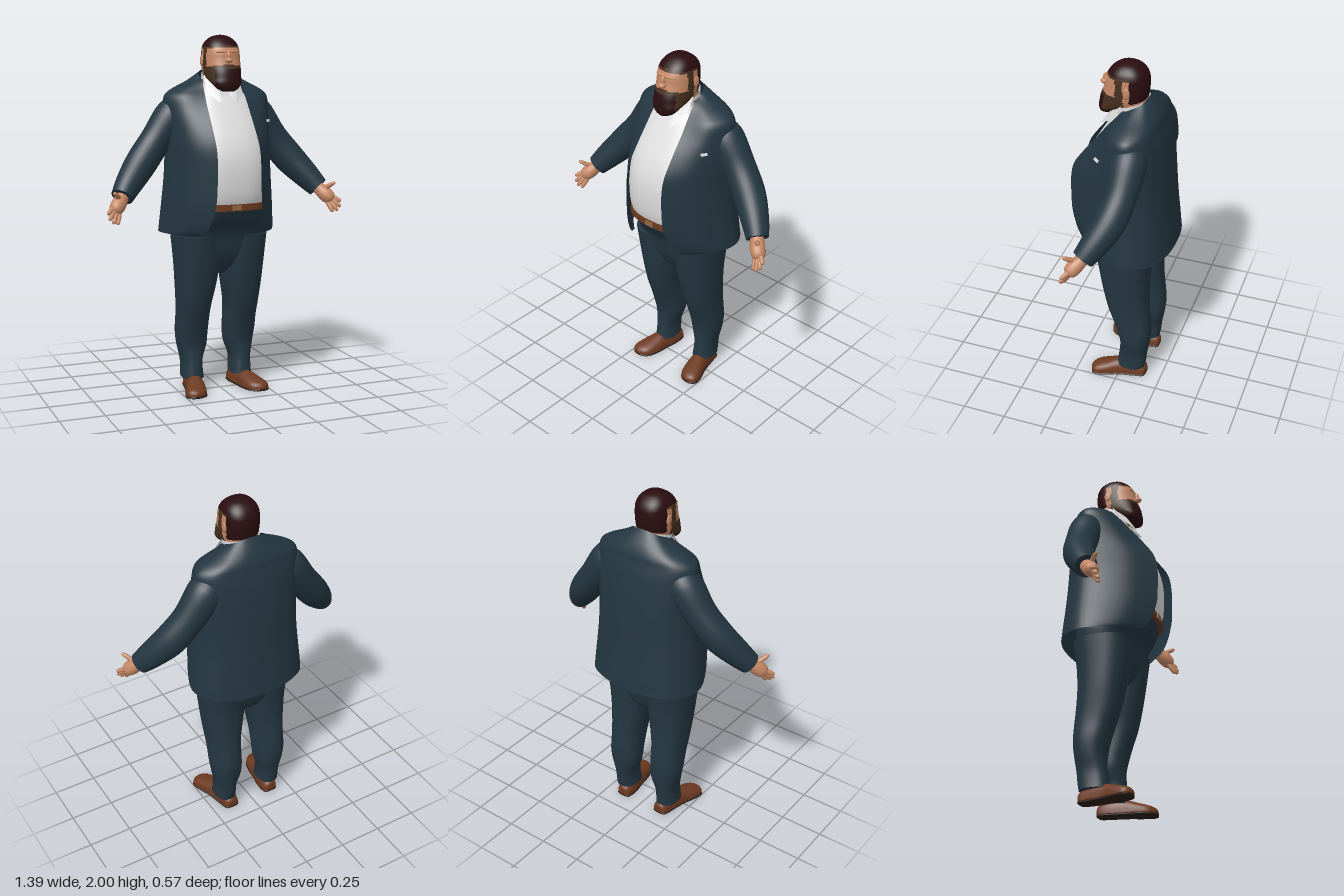
import * as THREE from 'three';

const V = (x, y, z) => new THREE.Vector3(x, y, z);
const mat = (name, color, side = THREE.FrontSide) => {
  const m = new THREE.MeshStandardMaterial({ color, side });
  m.name = name;
  return m;
};

// Smoothly resample a table of section parameters
function resample(table, n) {
  const out = [], last = table.length - 1;
  for (let i = 0; i <= n; i++) {
    const f = (i / n) * last, k = Math.min(Math.floor(f), last - 1), t = f - k;
    const row = (j) => table[Math.max(0, Math.min(last, j))];
    out.push(row(k).map((b, c) => {
      const a = row(k - 1)[c], d = row(k + 1)[c], e = row(k + 2)[c];
      return b + 0.5 * t * (d - a + t * (2 * a - 5 * b + 4 * d - e + t * (3 * (b - d) + e - a)));
    }));
  }
  return out;
}

// Skin a list of rings; an optional rule picks a material slot for each face
function loft(rings, { closed = true, caps = closed, pick = null, slots = 1 } = {}) {
  const middle = (r) => {
    const c = r.reduce((s, p) => s.add(p), V(0, 0, 0)).divideScalar(r.length);
    return r.map(() => c);
  };
  const first = rings[0], end = rings[rings.length - 1];
  const all = caps ? [middle(first), first, ...rings, end, middle(end)] : rings;
  const n = first.length, lists = Array.from({ length: slots }, () => []);
  for (let i = 0; i < all.length - 1; i++) {
    for (let j = 0; j < (closed ? n : n - 1); j++) {
      const k = (j + 1) % n, a = i * n + j, b = i * n + k, c = b + n, d = a + n;
      const mid = all[i][j].clone().add(all[i + 1][k]).multiplyScalar(0.5);
      lists[pick ? pick(mid) : 0].push(a, b, c, a, c, d);
    }
  }
  const g = new THREE.BufferGeometry().setFromPoints(all.flat());
  g.setIndex(lists.flat());
  let start = 0;
  if (slots > 1) lists.forEach((l, s) => { g.addGroup(start, l.length, s); start += l.length; });
  g.computeVertexNormals();
  return g;
}

// Horizontal rounded section: centre x, half width, front z, back z
function section(y, cx, w, zf, zb, power = 2.3, n = 40) {
  const ring = [], bend = (v) => Math.sign(v) * Math.abs(v) ** (2 / power);
  for (let j = 0; j < n; j++) {
    const t = (j / n) * Math.PI * 2;
    ring.push(V(cx + w * bend(Math.sin(t)), y, (zf + zb) / 2 + ((zf - zb) / 2) * bend(Math.cos(t))));
  }
  return ring;
}
const body = (table, n, power, sides) =>
  resample(table, n).map(([y, cx, w, zf, zb]) => section(y, cx, w, zf, zb, power, sides));

// Round limb along points [x, y, z, radius]
function limb(points, steps = 14, sides = 20) {
  const rows = resample(points, steps), p = rows.map((r) => V(r[0], r[1], r[2]));
  return loft(rows.map((r, i) => {
    const d = p[Math.min(i + 1, steps)].clone().sub(p[Math.max(i - 1, 0)]).normalize();
    const u = V(0, 0, 1).cross(d).normalize(), v = d.clone().cross(u);
    return Array.from({ length: sides }, (_, j) => {
      const t = (j / sides) * Math.PI * 2;
      return p[i].clone().addScaledVector(u, r[3] * Math.cos(t)).addScaledVector(v, r[3] * Math.sin(t));
    });
  }));
}

function mirrored(g) {
  const m = g.clone().applyMatrix4(new THREE.Matrix4().makeScale(-1, 1, 1));
  const idx = m.index.array;
  for (let i = 0; i < idx.length; i += 3) [idx[i], idx[i + 1]] = [idx[i + 1], idx[i]];
  return m;
}

export function createModel() {
  const model = new THREE.Group();
  const suit = mat('navy suit', 0x243641, THREE.DoubleSide);
  const white = mat('white shirt', 0xdedede, THREE.DoubleSide);
  const skin = mat('skin', 0xc48866);
  const hair = mat('dark hair', 0x2a0d10);
  const stubble = mat('brown beard edge', 0x46301f);
  const leather = mat('brown leather', 0x6e3b22);
  const soleMat = mat('dark sole', 0x2c1f19);
  const brass = mat('brass', 0x8f6a42);

  const add = (name, g, m) => {
    const mesh = new THREE.Mesh(g, m);
    mesh.name = name;
    model.add(mesh);
    return mesh;
  };
  const pair = (name, g, m) => { add(name + 'Left', g, m); add(name + 'Right', mirrored(g), m); };

  // Open jacket: y, opening x, front z, half width, side z, back z, rise at the back
  const coat = resample([
    [0.915, 0.195, 0.165, 0.335, -0.08, -0.283, 0], [0.94, 0.167, 0.215, 0.332, -0.08, -0.28, 0],
    [1.0, 0.148, 0.255, 0.325, -0.08, -0.275, 0], [1.1, 0.132, 0.285, 0.315, -0.075, -0.265, 0],
    [1.2, 0.127, 0.29, 0.306, -0.07, -0.257, 0], [1.3, 0.125, 0.29, 0.3, -0.07, -0.25, 0],
    [1.4, 0.124, 0.27, 0.3, -0.07, -0.242, 0], [1.5, 0.122, 0.205, 0.304, -0.07, -0.232, 0],
    [1.6, 0.12, 0.128, 0.308, -0.07, -0.217, 0], [1.665, 0.117, 0.08, 0.303, -0.07, -0.2, 0],
    [1.7, 0.113, 0.05, 0.262, -0.07, -0.19, 0.01], [1.735, 0.109, 0.022, 0.18, -0.06, -0.165, 0.025],
    [1.758, 0.1, 0.0, 0.108, -0.05, -0.118, 0.065],
  ], 60).map(([y, xo, zf, w, zm, zb, rise]) => {
    const bulge = 0.17 * (w - xo);
    const half = [[xo, zf], [(xo + w) / 2 + bulge, (zf + zm) / 2 + bulge], [w, zm],
      [w * 0.82, zm + (zb - zm) * 0.62], [w * 0.45, zm + (zb - zm) * 0.92]];
    const pts = [...half, [0, zb], ...half.map(([x, z]) => [-x, z]).reverse()].map(([x, z]) => V(x, 0, z));
    return new THREE.CatmullRomCurve3(pts).getPoints(60).map((p, j) => {
      p.y = y + rise * Math.sin((j / 60) * Math.PI) ** 2;
      return p;
    });
  });
  add('jacket', loft(coat, { closed: false }), suit);

  // Sleeves
  pair('sleeve', limb([[0.2, 1.61, -0.085, 0.07], [0.25, 1.56, -0.085, 0.098], [0.35, 1.425, -0.08, 0.088],
    [0.445, 1.305, -0.05, 0.088], [0.53, 1.205, 0.005, 0.075], [0.585, 1.137, 0.05, 0.061]], 22, 28), suit);

  // Hands with open fingers
  pair('palm', limb([[0.57, 1.155, 0.04, 0.036], [0.592, 1.127, 0.06, 0.037], [0.615, 1.1, 0.085, 0.042],
    [0.638, 1.075, 0.105, 0.036], [0.648, 1.065, 0.113, 0.018]], 10), skin);
  const fingers = [
    [[0.645, 1.09, 0.1], [0.69, 1.06, 0.137]], [[0.645, 1.073, 0.11], [0.683, 1.03, 0.147]],
    [[0.634, 1.063, 0.112], [0.662, 1.01, 0.15]], [[0.617, 1.062, 0.105], [0.637, 1.002, 0.142]],
    [[0.605, 1.13, 0.08], [0.652, 1.172, 0.135]],
  ];
  fingers.forEach(([a, b], i) => {
    const at = (t, r) => [0, 1, 2].map((k) => a[k] + (b[k] - a[k]) * t).concat(r);
    pair(i < 4 ? 'finger' + (i + 1) : 'thumb',
      limb([at(0, 0.014), at(0.5, 0.0135), at(0.9, 0.01), at(1, 0.003)], 8, 10), skin);
  });

  // Shirt over the belly, with collar
  add('shirt', loft(body([
    [1.07, 0, 0.235, 0.235, -0.2], [1.14, 0, 0.24, 0.255, -0.2], [1.25, 0, 0.24, 0.262, -0.2],
    [1.35, 0, 0.235, 0.252, -0.2], [1.45, 0, 0.225, 0.217, -0.2], [1.55, 0, 0.21, 0.16, -0.19],
    [1.63, 0, 0.185, 0.112, -0.17], [1.69, 0, 0.13, 0.075, -0.14], [1.73, 0, 0.1, 0.06, -0.11],
  ], 32, 2.6)), white);
  pair('collarFlap', loft([[V(0.018, 1.675, 0.095), V(0.05, 1.635, 0.14), V(0.105, 1.69, 0.07)],
    [V(0.022, 1.71, 0.085), V(0.065, 1.735, 0.075), V(0.1, 1.785, 0.005)]], { closed: false }), white);
  add('collarBand', loft([0, 1].map((k) => section(1.7 + k * 0.05, 0, 0.1, 0.08, -0.115, 2)
    .map((p) => V(p.x, p.y + (0.08 - p.z) * 0.3, p.z))), { caps: false }), white);

  // Pocket handkerchief
  const square = add('pocketSquare', new THREE.BoxGeometry(0.034, 0.014, 0.009), white);
  square.position.set(0.25, 1.53, 0.094);
  square.rotation.set(-0.35, 0.9, 0, 'YXZ');

  // Belt and buckle
  add('belt', loft([1.056, 1.092].map((y) => section(y, 0, 0.245, 0.25, -0.21, 2.6))), leather);
  add('buckle', new THREE.BoxGeometry(0.05, 0.028, 0.008), brass).position.set(0, 1.074, 0.252);

  // Trousers
  add('trouserSeat', loft(body([
    [0.67, 0, 0.05, 0.01, -0.09], [0.72, 0, 0.15, 0.075, -0.14], [0.8, 0, 0.235, 0.115, -0.172],
    [0.92, 0, 0.272, 0.145, -0.192], [1.0, 0, 0.27, 0.2, -0.205], [1.07, 0, 0.245, 0.235, -0.205],
  ], 24, 2.5)), suit);
  pair('trouserLeg', loft(body([
    [0.065, 0.147, 0.063, 0.015, -0.15], [0.11, 0.148, 0.06, 0.01, -0.157], [0.17, 0.148, 0.062, 0.002, -0.163],
    [0.25, 0.143, 0.084, -0.002, -0.176], [0.33, 0.145, 0.091, 0.015, -0.184], [0.42, 0.144, 0.091, 0.045, -0.18],
    [0.5, 0.143, 0.096, 0.072, -0.172], [0.62, 0.137, 0.113, 0.098, -0.165], [0.75, 0.134, 0.126, 0.12, -0.17],
    [0.9, 0.14, 0.133, 0.14, -0.19],
  ], 36, 2.3)), suit);

  // Shoes: z, centre x, half width, height
  const shoe = [[-0.157, 0.135, 0.015, 0.045], [-0.145, 0.135, 0.04, 0.065], [-0.08, 0.14, 0.05, 0.085],
    [0, 0.155, 0.052, 0.088], [0.06, 0.17, 0.06, 0.073], [0.12, 0.186, 0.06, 0.056],
    [0.15, 0.192, 0.043, 0.043], [0.164, 0.194, 0.014, 0.028]];
  const shoeLoft = (grow, lo, height) => loft(resample(shoe, 28).map(([z, cx, w, top]) =>
    Array.from({ length: 28 }, (_, j) => {
      const t = (j / 28) * Math.PI * 2;
      const up = Math.max(0, Math.sin(t)) ** 0.7;
      return V(cx + (w + grow) * Math.cos(t), lo + ((height || top) - lo) * up, z);
    })));
  pair('shoe', shoeLoft(0, 0.01), leather);
  pair('sole', shoeLoft(0.003, 0, 0.013), soleMat);

  // Neck
  add('neck', loft(body([[1.64, 0, 0.09, 0.07, -0.1], [1.74, 0, 0.088, 0.07, -0.105],
    [1.83, 0, 0.088, 0.06, -0.105]], 8, 2)), skin);

  // Head: skin, hair and beard are regions of one surface
  const region = ({ x, y, z }) => {
    const ax = Math.abs(x);
    if (z < -0.03) return y > 1.795 ? 1 : 0;
    if (y > 1.945 - ax * 0.1) return 1;
    if (y > 1.925 + (z > 0.08 ? 0.005 : 0)) return 2;
    if (z > 0.0 && z < 0.045 && y > 1.82) return 2;
    if (z > 0.0 && y < 1.838 - (ax > 0.03 ? 0.12 * (ax - 0.03) : 0)) {
      return ax < 0.075 && z > 0.06 && y < 1.815 ? 1 : 2;
    }
    return 0;
  };
  add('head', loft(body([
    [1.695, 0, 0.03, 0.148, 0.095], [1.71, 0, 0.058, 0.155, 0.07], [1.74, 0, 0.082, 0.158, 0.03],
    [1.77, 0, 0.094, 0.154, -0.06], [1.8, 0, 0.099, 0.148, -0.1], [1.835, 0, 0.101, 0.135, -0.109],
    [1.87, 0, 0.101, 0.126, -0.112], [1.9, 0, 0.1, 0.122, -0.112], [1.93, 0, 0.097, 0.11, -0.107],
    [1.96, 0, 0.084, 0.088, -0.09], [1.985, 0, 0.057, 0.055, -0.06], [1.997, 0, 0.025, 0.024, -0.028],
    [2.0, 0, 0.004, 0.002, -0.006],
  ], 72, 2.3, 72), { pick: region, slots: 3 }), [skin, hair, stubble]);

  // Nose, brow and ears
  const blob = (name, x, y, z, sx, sy, sz) => {
    const m = add(name, new THREE.SphereGeometry(1, 20, 14), skin);
    m.position.set(x, y, z);
    m.scale.set(sx, sy, sz);
    return m;
  };
  blob('noseTip', 0, 1.862, 0.132, 0.02, 0.016, 0.024);
  blob('noseBridge', 0, 1.882, 0.124, 0.012, 0.03, 0.018);
  blob('brow', 0, 1.908, 0.105, 0.065, 0.011, 0.018);
  for (const s of [1, -1]) blob(s > 0 ? 'earLeft' : 'earRight', s * 0.1, 1.86, -0.018, 0.009, 0.032, 0.02);

  return model;
}
